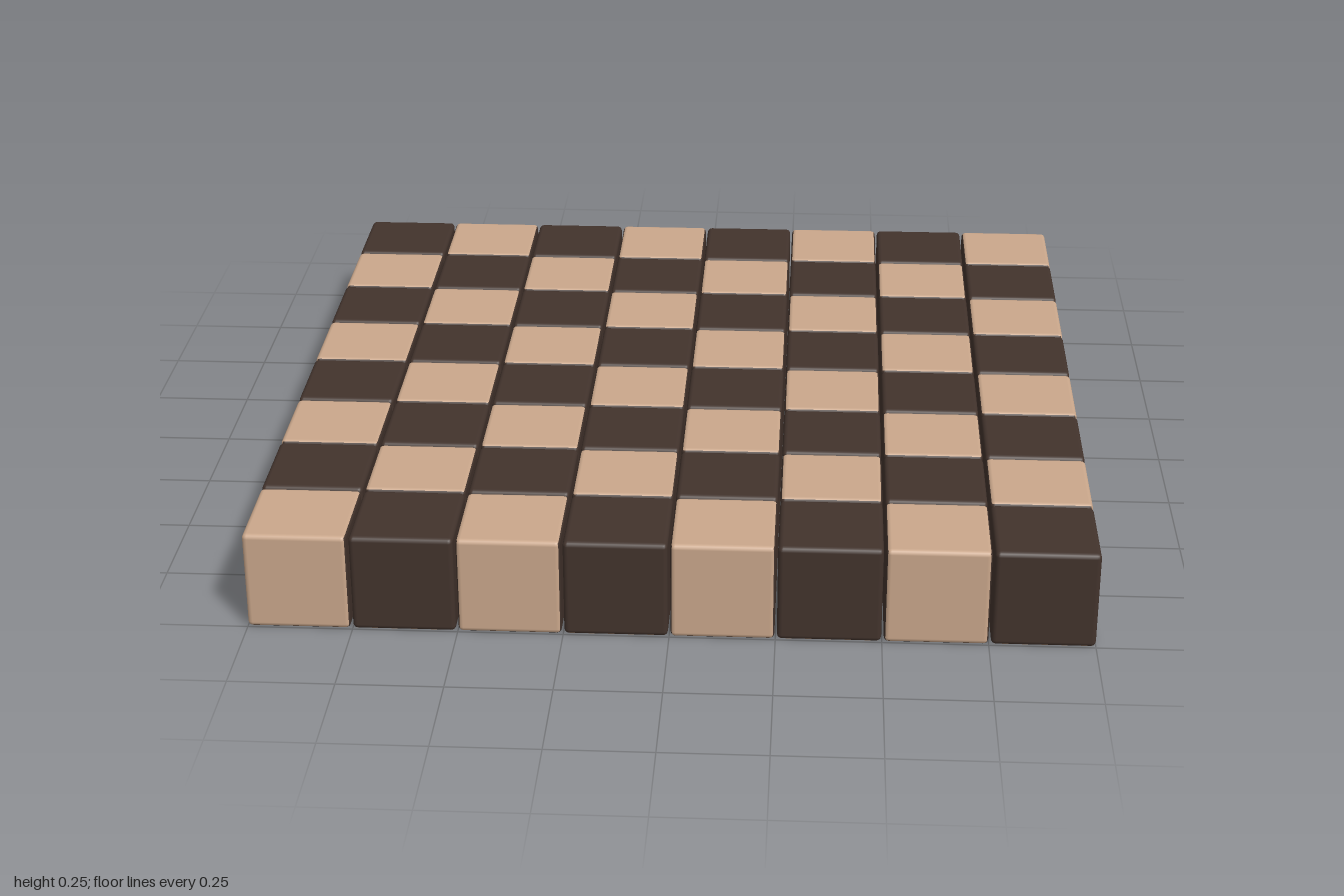
import * as THREE from 'three';
import { RoundedBoxGeometry } from 'three/addons/geometries/RoundedBoxGeometry.js';

const COUNT = 8;
const SIZE = 0.245;
const PITCH = (2 - SIZE) / (COUNT - 1); // leaves a hairline gap between blocks

export function createModel() {
  const board = new THREE.Group();
  board.name = 'checkeredBoard';

  const lightWood = new THREE.MeshStandardMaterial({ color: 0xcaa78b });
  lightWood.name = 'lightWood';
  const darkWood = new THREE.MeshStandardMaterial({ color: 0x42332c });
  darkWood.name = 'darkWood';

  // One softly rounded cube shared by every square
  const block = new RoundedBoxGeometry(SIZE, SIZE, SIZE, 2, 0.012);
  const last = COUNT - 1;

  // Rows run from back to front, columns from right to left of the model
  for (let row = 0; row < COUNT; row++) {
    const rank = new THREE.Group();
    rank.name = `row${row + 1}`;
    rank.position.set(0, SIZE / 2, -1 + SIZE / 2 + row * PITCH);
    for (let col = 0; col < COUNT; col++) {
      const dark = (row + col) % 2 === 0;
      const main = dark ? darkWood : lightWood;
      const underside = dark ? lightWood : darkWood;
      // Walls facing a neighbour are dark, so the seams read as dark lines
      const wall = (isOuter) => (isOuter ? main : darkWood);
      const square = new THREE.Mesh(block, [
        wall(col === last), wall(col === 0),
        main, underside,
        wall(row === last), wall(row === 0),
      ]);
      square.name = dark ? 'darkSquare' : 'lightSquare';
      square.position.x = -1 + SIZE / 2 + col * PITCH;
      rank.add(square);
    }
    board.add(rank);
  }
  return board;
}
